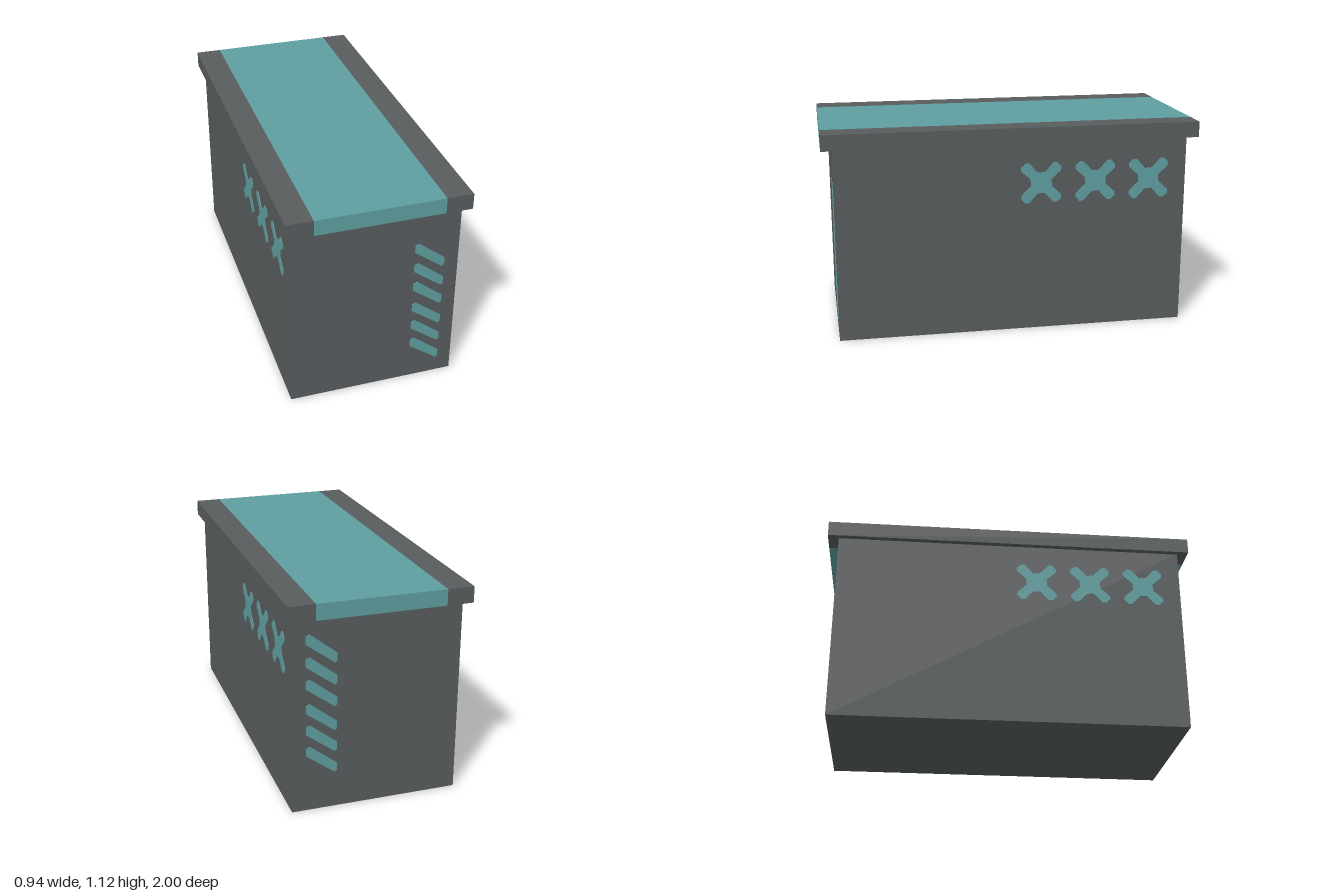
import * as THREE from 'three';

const mat = (name, color) => {
  const m = new THREE.MeshStandardMaterial({ color });
  m.name = name;
  return m;
};

export function createModel() {
  const model = new THREE.Group();
  model.name = 'crate';
  const gray = mat('dark gray', 0x585c5e);
  const teal = mat('teal', 0x5f9ea0);

  const box = (name, w, h, d, x, y, material) => {
    const mesh = new THREE.Mesh(new THREE.BoxGeometry(w, h, d), material);
    mesh.name = name;
    mesh.position.set(x, y, 0);
    model.add(mesh);
  };

  // Body and overhanging lid with a broad central band
  box('body', 0.88, 1.04, 1.885, 0, 0.52, gray);
  box('lidBand', 0.664, 0.084, 2, 0, 1.08, teal);
  for (const s of [-1, 1]) box(s > 0 ? 'lidLeftRim' : 'lidRightRim', 0.138, 0.084, 2, s * 0.401, 1.08, gray);

  // Thin painted marks, drawn on a panel that is turned to face each wall
  const plate = (points) => new THREE.ExtrudeGeometry(
    new THREE.Shape(points.map(([x, y]) => new THREE.Vector2(x, y))),
    { depth: 0.003, bevelEnabled: false });
  const panel = (name, angle, distance, geometry, places) => {
    const group = new THREE.Group();
    group.name = name;
    group.rotation.y = angle;
    for (const [x, y] of places) {
      const mark = new THREE.Mesh(geometry, teal);
      mark.name = name + 'Mark';
      mark.position.set(x, y, distance);
      group.add(mark);
    }
    model.add(group);
  };

  // Slanted dashes on the end walls
  const dash = plate([[-0.08, 0.03], [-0.08, 0.07], [-0.06, 0.08],
    [0.08, -0.03], [0.08, -0.07], [0.068, -0.08]]);
  const rows = [0.765, 0.648, 0.532, 0.402, 0.287, 0.17];
  panel('frontDashes', 0, 0.9425, dash, rows.map((y) => [0.286, y]));
  panel('backDashes', Math.PI, 0.9425, dash, rows.map((y) => [-0.286, y + 0.106]));

  // Crosses on the long walls: one arm repeated four times
  const arm = [[0.055, 0.018], [0.106, 0.065], [0.108, 0.085], [0.085, 0.11], [0.065, 0.108], [0.02, 0.058]];
  const outline = [];
  for (let i = 0; i < 4; i++) {
    const c = [1, 0, -1, 0][i], s = [0, 1, 0, -1][i];
    for (const [x, y] of arm) outline.push([x * c - y * s, x * s + y * c]);
  }
  const cross = plate(outline);
  const columns = [0.145, 0.44, 0.735].map((x) => [x, 0.818]);
  panel('leftCrosses', Math.PI / 2, 0.44, cross, columns);
  panel('rightCrosses', -Math.PI / 2, 0.44, cross, columns);

  return model;
}
